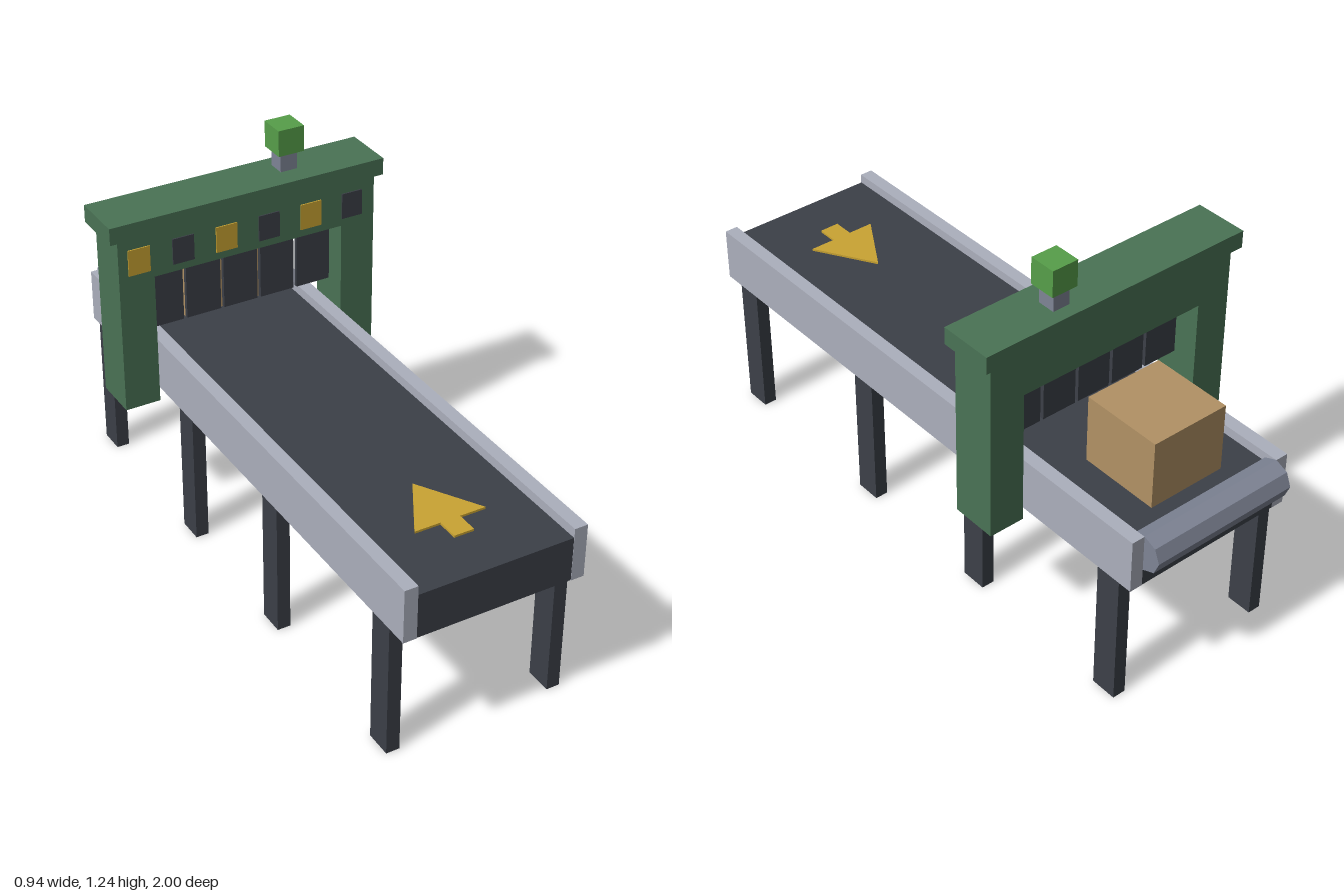
import * as THREE from 'three';

const mat = (name, color, flatShading = false) => {
  const m = new THREE.MeshStandardMaterial({ color, flatShading });
  m.name = name;
  return m;
};

export function createModel() {
  const model = new THREE.Group();
  model.name = 'conveyorScanner';

  const green = mat('gantryGreen', 0x4a7355);
  const dark = mat('darkRubber', 0x3c4048);
  const rail = mat('lightMetal', 0xacb0bd);
  const steel = mat('steelGrey', 0x7f8596, true);
  const yellow = mat('signalYellow', 0xcaa433);
  const card = mat('cardboard', 0xb29265);
  const lampGreen = mat('lampGreen', 0x579f4a);

  const add = (name, geometry, material) => {
    const mesh = new THREE.Mesh(geometry, material);
    mesh.name = name;
    model.add(mesh);
    return mesh;
  };
  // Box given by its extents on each axis
  const box = (name, material, [x0, x1], [y0, y1], [z0, z1]) => {
    const mesh = add(name, new THREE.BoxGeometry(x1 - x0, y1 - y0, z1 - z0), material);
    mesh.position.set((x0 + x1) / 2, (y0 + y1) / 2, (z0 + z1) / 2);
    return mesh;
  };
  // Flat outline extruded along +z
  const plate = (name, material, points, depth) => {
    const shape = new THREE.Shape(points.map(([x, y]) => new THREE.Vector2(x, y)));
    return add(name, new THREE.ExtrudeGeometry(shape, { depth, bevelEnabled: false }), material);
  };

  // Belt bed, side rails and legs
  box('belt', dark, [-0.25, 0.25], [0.444, 0.588], [-0.94, 0.999]);
  for (const [side, s] of [['left', 1], ['right', -1]]) {
    const xs = s > 0 ? [0.25, 0.293] : [-0.293, -0.25];
    box(side + 'Rail', rail, xs, [0.443, 0.618], [-0.94, 1]);
    [0.888, 0.268, -0.265, -0.852].forEach((z, i) =>
      box(`${side}Leg${i + 1}`, dark, xs, [0, 0.443], [z - 0.043, z + 0.043]));
  }

  // Eight-sided end roller
  const roller = add('endRoller', new THREE.CylinderGeometry(0.06, 0.06, 0.5, 8), steel);
  roller.rotation.z = Math.PI / 2;
  roller.position.set(0, 0.559, -0.94);

  // Direction arrow lying on the belt, pointing to the back
  const arrow = plate('arrow', yellow, [
    [0, -0.573], [-0.116, -0.768], [-0.032, -0.768], [-0.032, -0.837],
    [0.032, -0.837], [0.032, -0.768], [0.116, -0.768],
  ], 0.007);
  arrow.rotation.x = -Math.PI / 2;
  arrow.position.y = 0.588;

  // Parcel
  box('parcel', card, [-0.132, 0.132], [0.588, 0.811], [-0.842, -0.574]);

  // Gantry arch and its cap
  const arch = plate('gantryArch', green, [
    [-0.442, 0.443], [-0.325, 0.443], [-0.325, 0.885], [0.325, 0.885],
    [0.325, 0.443], [0.442, 0.443], [0.442, 1.033], [-0.442, 1.033],
  ], 0.15);
  arch.position.z = -0.528;
  box('gantryCap', green, [-0.469, 0.469], [1.033, 1.089], [-0.544, -0.368]);

  // Alternating marker plates on the front of the beam
  for (let i = 0; i < 6; i++) {
    const x = -0.377 + i * 0.147;
    box(`marker${i + 1}`, i % 2 ? dark : yellow, [x - 0.036, x + 0.036], [0.914, 1.0], [-0.372, -0.368]);
  }

  // Hanging curtain strips
  for (let i = 0; i < 5; i++) {
    const x = -0.266 + i * 0.1295;
    box(`curtainStrip${i + 1}`, dark, [x - 0.059, x + 0.059], [0.677, 0.886], [-0.444, -0.43]);
  }

  // Status lamp on a short post
  box('lampPost', steel, [0.145, 0.202], [1.089, 1.15], [-0.5, -0.441]);
  box('lamp', lampGreen, [0.131, 0.219], [1.15, 1.236], [-0.515, -0.427]);

  return model;
}
